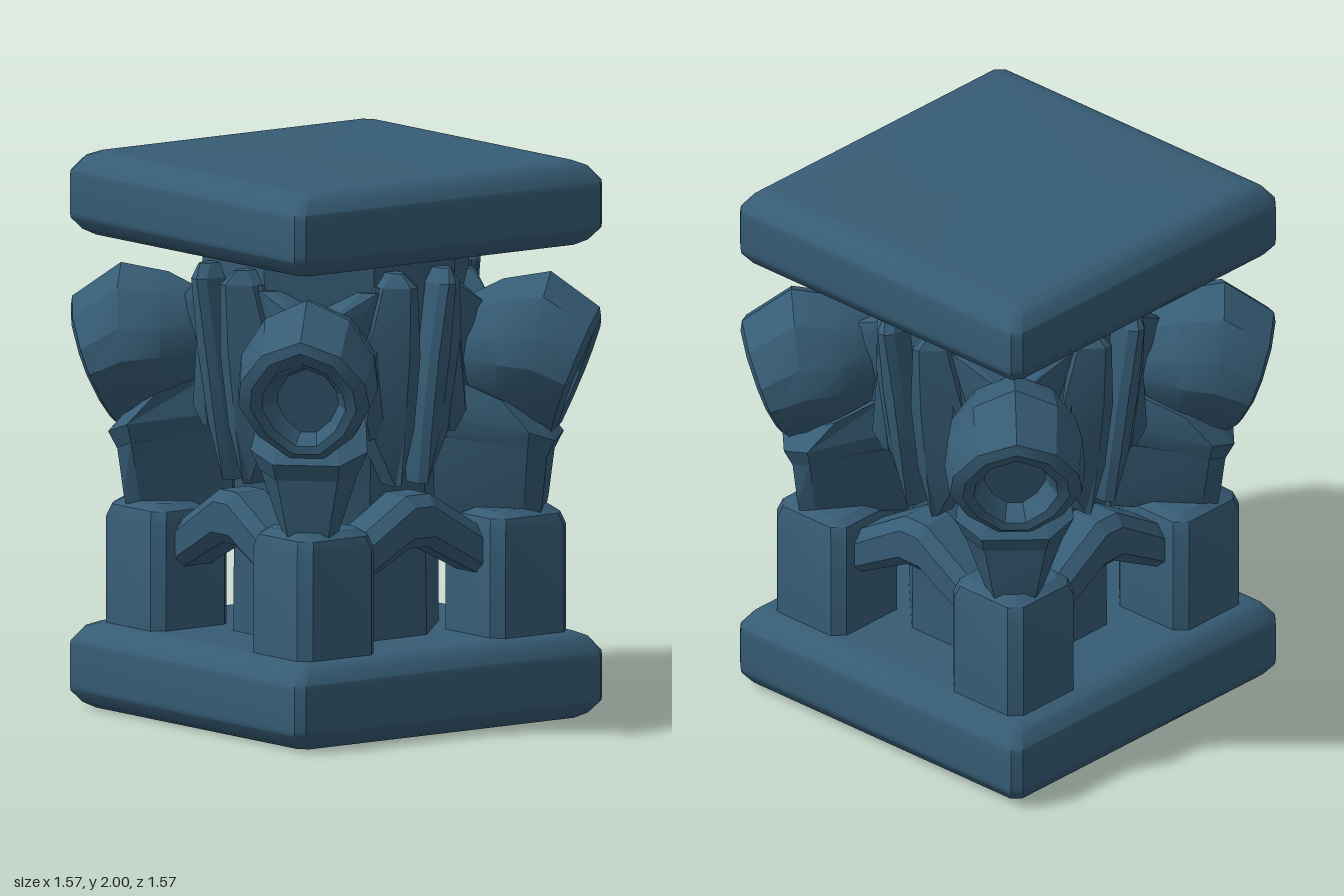
import * as THREE from 'three';
import { toCreasedNormals } from 'three/addons/utils/BufferGeometryUtils.js';

const stone = new THREE.MeshStandardMaterial({ color: 0x365c75 });
stone.name = 'blue stone';

function mesh(name, geometry) {
  const m = new THREE.Mesh(geometry, stone);
  m.name = name;
  return m;
}

// Skin closed rings of [x, y, z] points, cap both ends, face outward
function loft(rings, crease = 0.5) {
  const tris = [];
  const n = rings[0].length;
  for (let r = 0; r < rings.length - 1; r++) {
    for (let i = 0; i < n; i++) {
      const j = (i + 1) % n;
      const [a, b, c, d] = [rings[r][i], rings[r][j], rings[r + 1][j], rings[r + 1][i]];
      tris.push([a, b, c], [a, c, d]);
    }
  }
  const last = rings[rings.length - 1];
  for (let i = 1; i < n - 1; i++) {
    tris.push([rings[0][0], rings[0][i + 1], rings[0][i]], [last[0], last[i], last[i + 1]]);
  }
  let volume = 0;
  for (const [a, b, c] of tris) {
    volume += a[0] * (b[1] * c[2] - b[2] * c[1])
      + a[1] * (b[2] * c[0] - b[0] * c[2])
      + a[2] * (b[0] * c[1] - b[1] * c[0]);
  }
  if (volume < 0) tris.forEach((t) => t.reverse());
  const g = new THREE.BufferGeometry();
  g.setAttribute('position', new THREE.Float32BufferAttribute(tris.flat(2), 3));
  g.computeVertexNormals();
  return toCreasedNormals(g, crease);
}

// Level square ring with cut corners
function squareRing(y, half, cut, cx = 0, cz = 0) {
  const k = half - cut;
  return [[half, k], [k, half], [-k, half], [-half, k], [-half, -k], [-k, -half], [k, -half], [half, -k]]
    .map(([x, z]) => [cx + x, y, cz + z]);
}

// Thick square plate with softened edges
function slab(name, y0, y1) {
  return mesh(name, loft([
    squareRing(y0, 0.6, 0.03), squareRing(y0, 0.62, 0.03), squareRing(y0 + 0.02, 0.655, 0.03),
    squareRing(y0 + 0.06, 0.685, 0.03), squareRing(y0 + 0.08, 0.687, 0.03),
    squareRing(y1 - 0.09, 0.687, 0.03), squareRing(y1 - 0.07, 0.685, 0.03),
    squareRing(y1 - 0.02, 0.65, 0.03), squareRing(y1 - 0.002, 0.61, 0.03), squareRing(y1, 0.58, 0.03),
  ], 0.72));
}

// Hood: faceted rings run outward, then fold back into the opening
function hood() {
  const half = [[0.6, 0.76], [0.95, 0.3], [1, -0.1], [0.72, -0.6], [0.25, -0.97]];
  const outline = [[0, 1], ...half, ...half.map(([u, v]) => [-u, v]).reverse()];
  // out, centre height, half width, half height, forward lean of the top
  const stations = [
    [0.46, 1.32, 0.13, 0.18, 0],
    [0.6, 1.32, 0.23, 0.25, 0],
    [0.74, 1.31, 0.25, 0.29, 0.03],
    [0.86, 1.25, 0.235, 0.225, 0.085],
    [0.875, 1.24, 0.19, 0.195, 0.075],
    [0.86, 1.235, 0.15, 0.16, 0.06],
    [0.81, 1.235, 0.13, 0.135, 0.05],
    [0.75, 1.235, 0.11, 0.12, 0.03],
  ];
  return mesh('hood', loft(stations.map(([w, cy, hw, hh, lean]) =>
    outline.map(([u, v]) => [u * hw, cy + v * hh, w + v * lean]))));
}

// Six-sided torso ring; dip lowers the front and raises the back
function bodyRing(y, front, a, side, b, back, dip = 0) {
  return [[a, y - dip, front], [b, y, side], [b * 0.6, y + dip, back],
    [-b * 0.6, y + dip, back], [-b, y, side], [-a, y - dip, front]];
}

function figure() {
  const g = new THREE.Group();
  g.name = 'hoodedFigure';
  g.add(hood());
  g.add(mesh('torso', loft([
    bodyRing(0.73, 0.74, 0.07, 0.68, 0.09, 0.36),
    bodyRing(0.78, 0.75, 0.08, 0.69, 0.11, 0.36),
    bodyRing(0.99, 0.77, 0.11, 0.71, 0.18, 0.36, 0.03),
  ], 0.3)));
  g.add(mesh('collar', loft([
    bodyRing(0.98, 0.77, 0.11, 0.71, 0.18, 0.4, 0.03),
    bodyRing(1.05, 0.8, 0.12, 0.72, 0.21, 0.38, 0.04),
    bodyRing(1.16, 0.74, 0.1, 0.62, 0.19, 0.4, 0.08),
  ], 0.3)));
  g.rotation.y = Math.PI / 4;
  return g;
}

// Folded feather: stations are [height, inner x, ridge x, outer x, ridge z, outer z]
function feather(name, s, stations) {
  return mesh(name, loft(stations.map(([y, xi, xr, xo, zr, zo]) => [
    [s * xi, y, 0.3], [s * xi, y, zr - 0.03], [s * (xi + 0.02), y, zr], [s * xr, y, zr],
    [s * xo, y, zo], [s * xo, y, 0.3],
  ]), 0.35));
}

function wing(s) {
  const g = new THREE.Group();
  g.name = s > 0 ? 'leftWing' : 'rightWing';
  g.add(feather('innerFeather', s, [
    [1.65, 0.08, 0.11, 0.13, 0.53, 0.5],
    [1.6, 0.05, 0.1, 0.17, 0.57, 0.5],
    [1.35, 0.022, 0.09, 0.21, 0.55, 0.46],
    [1.08, 0.02, 0.08, 0.18, 0.51, 0.44],
    [0.87, 0.04, 0.06, 0.07, 0.46, 0.44],
  ]));
  g.add(feather('middleFeather', s, [
    [1.6, 0.11, 0.14, 0.18, 0.5, 0.47],
    [1.35, 0.12, 0.19, 0.24, 0.48, 0.42],
    [1.12, 0.13, 0.22, 0.28, 0.47, 0.4],
    [1.05, 0.14, 0.19, 0.22, 0.45, 0.4],
  ]));
  g.add(feather('outerFeather', s, [
    [1.58, 0.15, 0.18, 0.22, 0.48, 0.44],
    [1.48, 0.16, 0.25, 0.36, 0.46, 0.42],
    [1.2, 0.2, 0.28, 0.4, 0.42, 0.4],
    [1.0, 0.22, 0.27, 0.34, 0.39, 0.37],
  ]));
  return g;
}

// Chevron arch bridging two pillars
function arch() {
  const points = [[-0.3, 0.64], [-0.04, 0.8], [0.04, 0.8], [0.3, 0.64],
    [0.3, 0.55], [0.05, 0.69], [-0.05, 0.69], [-0.3, 0.55]];
  const g = new THREE.ExtrudeGeometry(new THREE.Shape(points.map(([x, y]) => new THREE.Vector2(x, y))), {
    depth: 0.12, bevelEnabled: true, bevelThickness: 0.04, bevelSize: 0.04, bevelSegments: 1,
  });
  g.translate(0, 0, 0.36);
  return mesh('arch', g);
}

export function createModel() {
  const model = new THREE.Group();
  model.name = 'statueColumn';
  model.add(slab('base', 0, 0.31), slab('capital', 1.7, 2));

  // Eight-sided core, flaring to the top
  model.add(mesh('core', loft([[0.28, 0.36, 0.23], [1.0, 0.36, 0.24], [1.3, 0.45, 0.27], [1.72, 0.46, 0.28]]
    .map(([y, h, c]) => squareRing(y, h, c)))));

  // One quarter: a corner with its figure, plus one side with its arch and wings
  for (let k = 0; k < 4; k++) {
    const quarter = new THREE.Group();
    quarter.name = 'quarter' + (k + 1);
    quarter.add(mesh('pillar', loft([
      squareRing(0.28, 0.17, 0.04, 0.43, 0.43),
      squareRing(0.69, 0.17, 0.04, 0.43, 0.43),
      squareRing(0.735, 0.155, 0.04, 0.43, 0.43),
      squareRing(0.76, 0.125, 0.04, 0.43, 0.43),
    ])));
    quarter.add(figure(), arch(), wing(1), wing(-1));
    quarter.rotation.y = k * Math.PI / 2;
    model.add(quarter);
  }
  return model;
}
